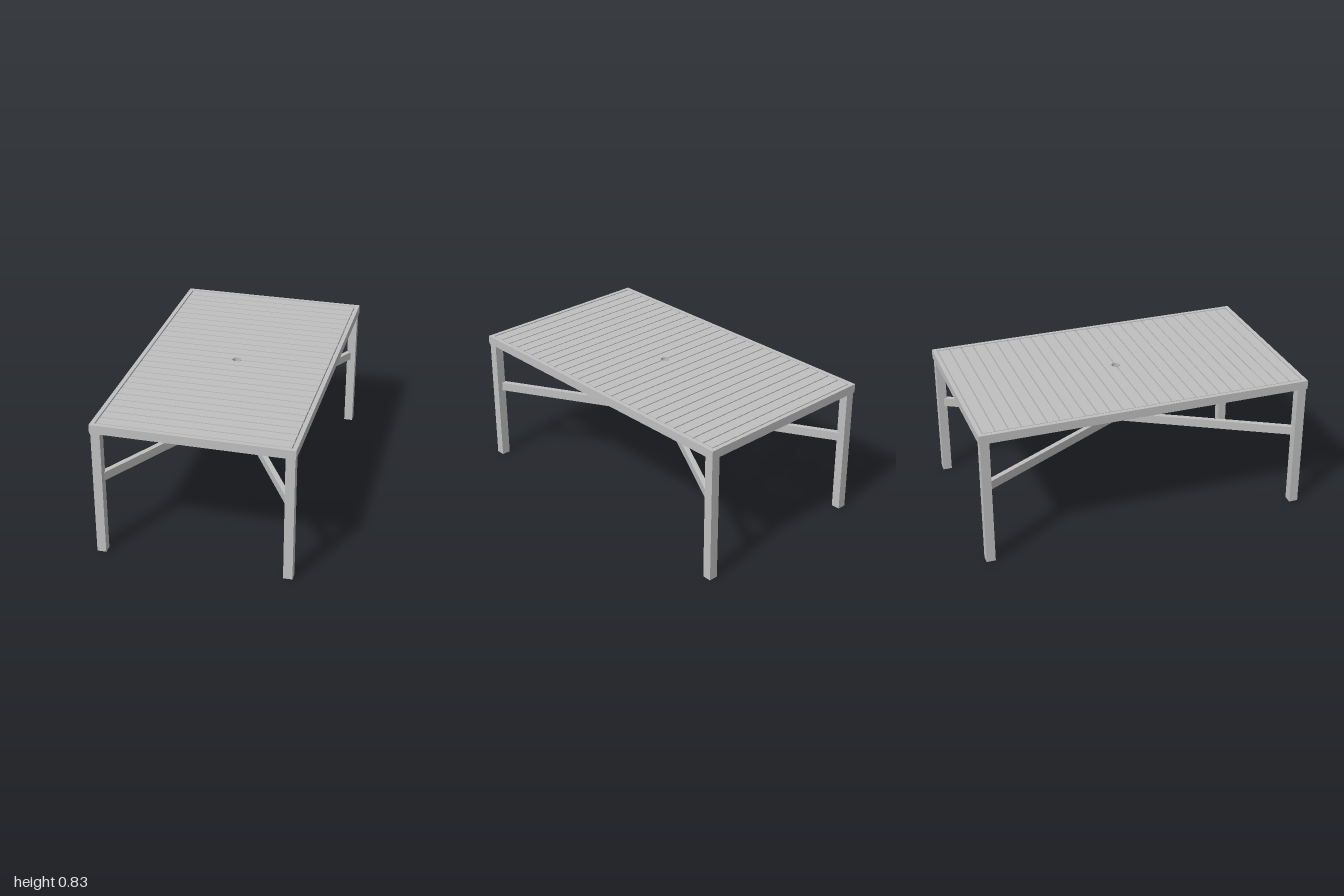
import * as THREE from 'three';

const HALF_X = 0.583, TOP = 0.833, UNDER = 0.78, HOLE = 0.027;

export function createModel() {
  const table = new THREE.Group();
  table.name = 'slattedTable';
  const metal = new THREE.MeshStandardMaterial({ color: 0xc0c0c0 });
  metal.name = 'grey metal';

  const add = (name, geometry, x = 0, y = 0, z = 0) => {
    const mesh = new THREE.Mesh(geometry, metal);
    mesh.name = name;
    mesh.position.set(x, y, z);
    table.add(mesh);
    return mesh;
  };
  // Plan outline in (x, z), raised from y0 to y1
  const slab = (name, shape, y0, y1) => {
    const g = new THREE.ExtrudeGeometry(shape, { depth: y1 - y0, bevelEnabled: false, curveSegments: 16 });
    g.rotateX(Math.PI / 2);
    return add(name, g, 0, y1, 0);
  };
  const rectangle = (path, x, z) =>
    path.moveTo(-x, -z).lineTo(x, -z).lineTo(x, z).lineTo(-x, z).closePath();

  // Rim around the top
  const rim = rectangle(new THREE.Shape(), HALF_X, 1);
  rim.holes.push(rectangle(new THREE.Path(), 0.558, 0.975));
  slab('topFrame', rim, UNDER, TOP);

  // Slats; the two middle ones are notched for the pole hole
  const pitch = 0.0747, gap = 0.007, slatX = 0.552;
  for (let i = 0; i < 13; i++) {
    for (const s of [-1, 1]) {
      const centre = s * (i + 0.5) * pitch;
      if (i > 0) {
        add('slat', new THREE.BoxGeometry(slatX * 2, 0.022, pitch - gap), 0, 0.821, centre);
        continue;
      }
      const near = gap / 2, far = pitch - gap / 2;
      const a = Math.asin(near / HOLE), edge = HOLE * Math.cos(a);
      const shape = new THREE.Shape();
      shape.moveTo(-slatX, s * far).lineTo(slatX, s * far).lineTo(slatX, s * near).lineTo(edge, s * near);
      shape.absarc(0, 0, HOLE, s * a, s * (Math.PI - a), s < 0);
      shape.lineTo(-slatX, s * near);
      slab('middleSlat', shape, 0.81, 0.832);
    }
  }

  // Lengthwise joists under the slats
  for (const x of [-0.355, -0.106, 0.106, 0.355]) {
    add('joist', new THREE.BoxGeometry(0.04, 0.025, 1.95), x, 0.7975, 0);
  }

  // Pole sleeve and the short bars that hold it
  const sleeve = [[0.025, 0.76], [HOLE, 0.76], [HOLE, 0.834], [0.025, 0.834], [0.025, 0.76]];
  // Each straight run is its own lathe so the rims stay sharp
  for (let i = 0; i < 4; i++) {
    const run = sleeve.slice(i, i + 2).map(([r, y]) => new THREE.Vector2(r, y));
    add('poleSleeve', new THREE.LatheGeometry(run, 32));
  }
  for (const s of [-1, 1]) {
    add('sleeveBar', new THREE.BoxGeometry(0.062, 0.02, 0.025), s * 0.056, 0.797, 0);
  }

  // Hollow legs, open at the foot
  const leg = new THREE.BoxGeometry(0.054, UNDER, 0.054);
  const faces = Array.from(leg.index.array);
  leg.setIndex([...faces.slice(0, 12), ...faces.slice(24)]);
  leg.clearGroups();
  for (const x of [-0.551, 0.551]) {
    for (const z of [-0.967, 0.967]) add('leg', leg, x, UNDER / 2, z);
  }

  // Crossed braces: two V halves meeting around the pole hole
  const t = 0.015, r = 0.028;
  const d = new THREE.Vector2(0.54, 0.957).normalize();
  const at = (along, across) => [along * d.x + across * d.y, along * d.y - across * d.x];
  const [ox, oz] = at(1.1, t), [ix, iz] = at(1.1, -t);
  const [hx, hz] = at(Math.sqrt(r * r - t * t), t);
  const a = Math.atan2(hz, hx);
  for (const s of [-1, 1]) {
    const v = new THREE.Shape();
    v.moveTo(hx, s * hz).lineTo(ox, s * oz).lineTo(ix, s * iz).lineTo(0, s * t / d.x);
    v.lineTo(-ix, s * iz).lineTo(-ox, s * oz).lineTo(-hx, s * hz);
    v.absarc(0, 0, r, s * (Math.PI - a), s * a, s > 0);
    slab('crossBrace', v, 0.46, 0.513);
  }
  return table;
}
